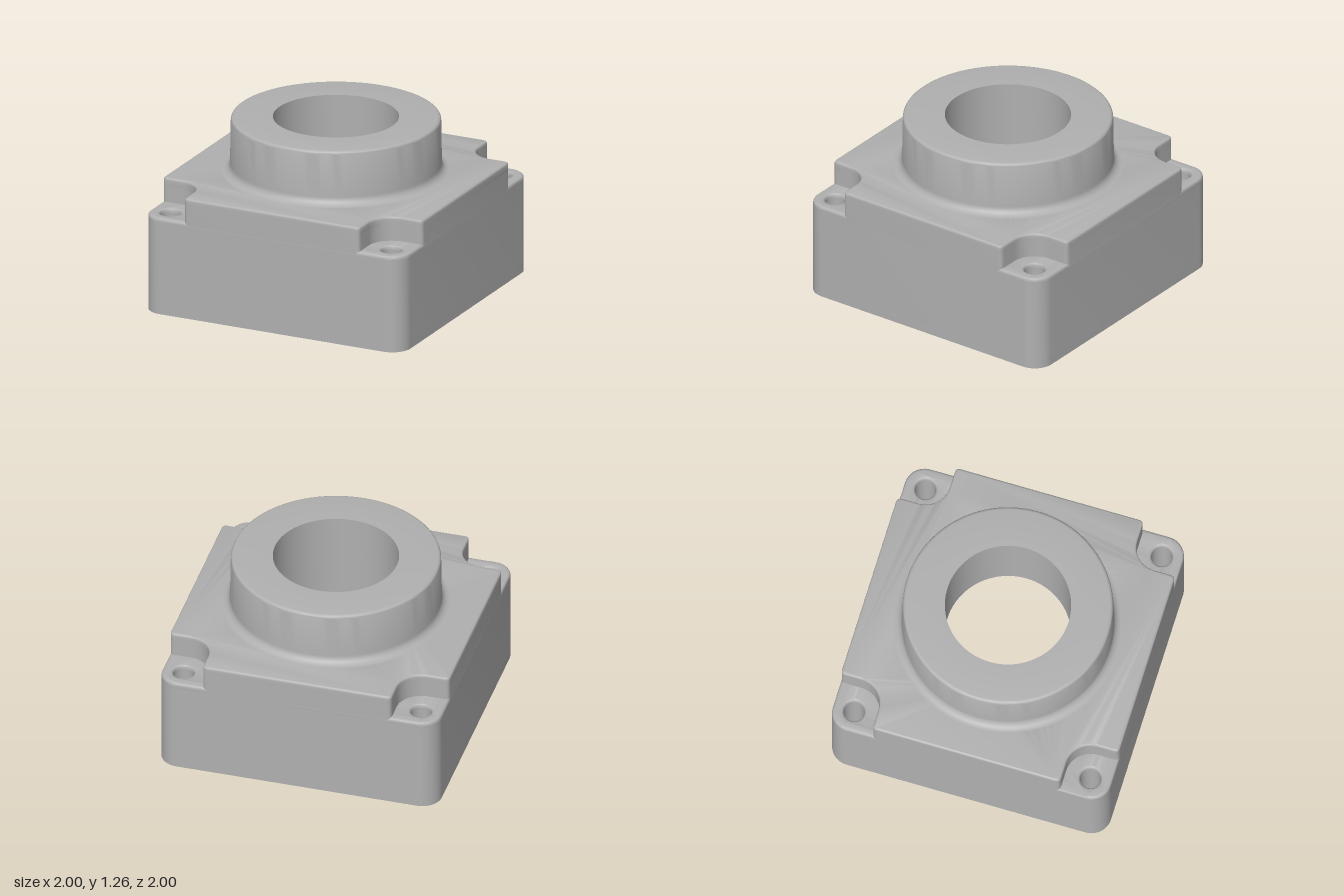
import * as THREE from 'three';
import { toCreasedNormals } from 'three/addons/utils/BufferGeometryUtils.js';

const V = (x, y) => new THREE.Vector2(x, y);

// points on an arc, angles in degrees
function arc(cx, cy, r, from, to, n = 8) {
  return Array.from({ length: n + 1 }, (_, i) => {
    const a = THREE.MathUtils.degToRad(from + (to - from) * i / n);
    return V(cx + r * Math.cos(a), cy + r * Math.sin(a));
  });
}

// repeat one corner's points around four quarter turns
function fourCorners(corner) {
  const all = [];
  for (let k = 0; k < 4; k++) {
    for (const p of corner) all.push(p.clone().rotateAround(V(0, 0), k * Math.PI / 2));
  }
  return all;
}

// square with rounded chamfers that clear the screw holes
function octagon(k, s) {
  const c = 2 * s - k, r = 0.07, d = r * Math.SQRT1_2;
  const bend = (a, b, e) => new THREE.QuadraticBezierCurve(a, b, e).getPoints(6);
  return fourCorners([
    ...bend(V(k, c - r), V(k, c), V(k - d, c + d)),
    ...bend(V(c + d, k - d), V(c, k), V(c - r, k)),
  ]);
}

const circle = (x, y, r, n = 40) => arc(x, y, r, 0, 360, n).slice(0, -1);

export function createModel() {
  const group = new THREE.Group();
  const metal = new THREE.MeshStandardMaterial({ color: 0xb0b0b0 });
  metal.name = 'castGrey';

  function add(name, geometry) {
    const mesh = new THREE.Mesh(toCreasedNormals(geometry, 0.6), metal);
    mesh.name = name;
    group.add(mesh);
    return mesh;
  }

  // horizontal slab between two heights, optionally with rounded edges
  function slab(name, outline, holes, y0, y1, bevel = 0) {
    const shape = new THREE.Shape(outline);
    shape.holes = holes.map((h) => new THREE.Path(h));
    const geo = new THREE.ExtrudeGeometry(shape, {
      depth: y1 - y0 - 2 * bevel, bevelEnabled: bevel > 0,
      bevelSize: bevel, bevelThickness: bevel, bevelOffset: -bevel, bevelSegments: 4,
    });
    geo.translate(0, 0, bevel);
    geo.rotateX(-Math.PI / 2);
    geo.translate(0, y0, 0);
    return add(name, geo);
  }

  const square = fourCorners(arc(0.86, 0.86, 0.14, 0, 90, 12));
  const screws = [[1, 1], [-1, 1], [-1, -1], [1, -1]].map(([x, y]) => circle(0.85 * x, 0.85 * y, 0.072));
  const cavity = octagon(0.8, 0.67);
  const seat = octagon(0.9, 0.765);

  // hollow box with a stepped sealing rim underneath
  slab('bottomRim', square, [seat, ...screws], 0, 0.06);
  slab('sideWalls', square, [cavity, ...screws], 0.06, 0.67);
  slab('cornerLedges', square, [cavity, ...screws], 0.64, 0.7, 0.02);
  slab('sealingLip', octagon(0.85, 0.715), [cavity], 0.025, 0.08);

  // raised top with a scooped recess at each screw
  const notched = fourCorners([
    ...new THREE.QuadraticBezierCurve(V(1, 0.64), V(1, 0.675), V(0.965, 0.675)).getPoints(5),
    ...arc(0.85, 0.85, 0.175, -90, -180, 14),
    ...new THREE.QuadraticBezierCurve(V(0.675, 0.965), V(0.675, 1), V(0.64, 1)).getPoints(5),
  ]);
  const bore = circle(0, 0, 0.47, 64);
  slab('topPlate', notched, [bore], 0.66, 0.85);
  slab('topPlateEdge', notched, [bore], 0.8, 0.875, 0.016);

  // round collar with bore and filleted foot
  add('collar', new THREE.LatheGeometry([
    V(0.435, 0.66), V(0.7, 0.66), V(0.79, 0.82),
    ...arc(0.79, 0.935, 0.06, -90, -180),
    ...arc(0.7, 1.24, 0.025, 0, 90, 5),
    V(0.435, 1.265), V(0.435, 0.66),
  ], 96));

  // two inner screw posts in opposite corners, each with a slim pin
  const post = [
    V(0.8, 0.42), V(0.64, 0.42), ...arc(0.54, 0.54, 0.12, -50, -220, 16),
    V(0.42, 0.64), V(0.42, 0.8), V(0.58, 0.8), V(0.8, 0.58),
  ].reverse();
  for (const turn of [0, Math.PI]) {
    slab('innerPost', post, [circle(0.54, 0.54, 0.05, 24)], 0.09, 0.67).rotation.y = turn;
  }
  for (const [x, z] of [[-0.43, 0.75], [0.75, -0.43]]) {
    const pin = add('locatingPin', new THREE.CylinderGeometry(0.03, 0.03, 0.61, 20));
    pin.position.set(x, 0.365, z);
  }

  // small stop on the inner wall
  add('wallStop', new THREE.BoxGeometry(0.18, 0.1, 0.08)).position.set(-0.73, 0.48, 0.18);

  return group;
}
